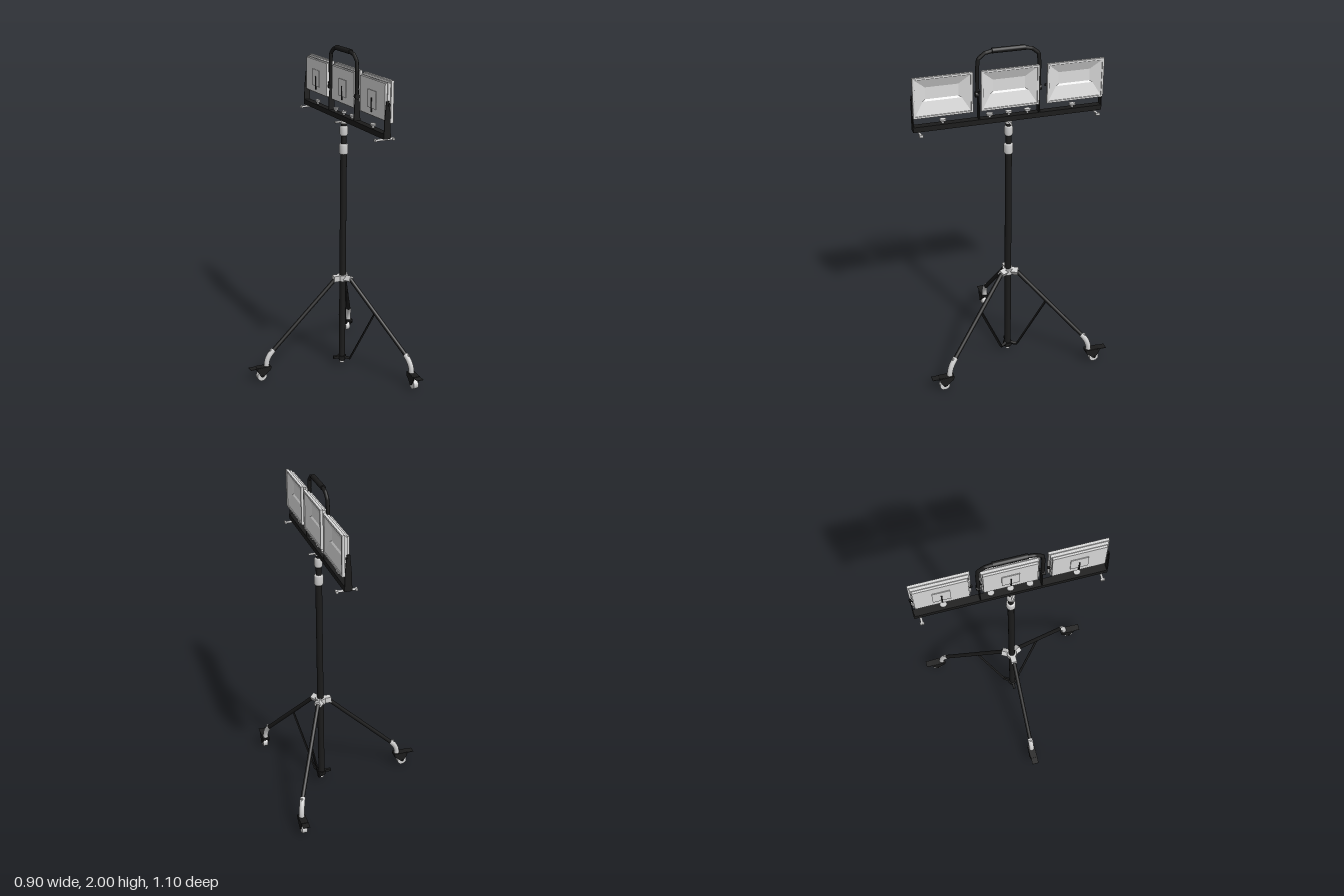
import * as THREE from 'three';

const mat = (name, color, side = THREE.FrontSide) => {
  const m = new THREE.MeshStandardMaterial({ color, side });
  m.name = name;
  return m;
};
const V = (x, y, z) => new THREE.Vector3(x, y, z);

export function createModel() {
  const black = mat('black paint', 0x1b1b1b);
  const plate = mat('black sheet', 0x1d1d1d, THREE.DoubleSide);
  const grey = mat('light grey fitting', 0xcfcfcf);
  const white = mat('pale lamp casing', 0xd9d9d9);
  const reflectorMat = mat('pale reflector', 0xdcdcdc, THREE.DoubleSide);
  const root = new THREE.Group();
  root.name = 'floodlightTripod';
  const PX = 0.165; // mast axis

  const add = (name, geo, material, pos = V(0, 0, 0), parent = root) => {
    const m = new THREE.Mesh(geo, material);
    m.name = name;
    m.position.copy(pos);
    parent.add(m);
    return m;
  };
  const box = (name, w, h, d, material, pos, parent) =>
    add(name, new THREE.BoxGeometry(w, h, d), material, pos, parent);
  // straight member between two points, round or rectangular
  const member = (name, a, b, geoFor, material, parent) => {
    const dir = b.clone().sub(a);
    const m = add(name, geoFor(dir.length()), material, a.clone().add(b).multiplyScalar(0.5), parent);
    m.quaternion.setFromUnitVectors(V(0, 1, 0), dir.normalize());
    return m;
  };
  const round = (r, r2 = r) => (l) => new THREE.CylinderGeometry(r2, r, l, 16);
  const mastPart = (name, r, y0, y1, material) =>
    member(name, V(PX, y0, 0), V(PX, y1, 0), round(r), material);
  // collar with chamfered rims
  const collar = (name, r, y0, y1) => {
    const pts = [[0.014, y0], [r - 0.004, y0], [r, y0 + 0.008], [r, y1 - 0.008], [r - 0.004, y1], [0.014, y1]];
    add(name, new THREE.LatheGeometry(pts.map((p) => new THREE.Vector2(...p)), 20), grey, V(PX, 0, 0));
  };

  // telescopic mast
  mastPart('mastOuterTube', 0.0195, 0.03, 1.38, black);
  mastPart('mastInnerTube', 0.016, 1.38, 1.58, black);
  mastPart('mastFoot', 0.014, 0.015, 0.035, grey);
  collar('lowerCollar', 0.027, 1.37, 1.432);
  collar('upperCollar', 0.024, 1.482, 1.54);
  mastPart('mastHeadSocket', 0.02, 1.556, 1.58, grey);

  // hubs and legs
  mastPart('upperHub', 0.032, 0.57, 0.607, grey);
  mastPart('lowerHub', 0.027, 0.042, 0.062, black);
  const legs = [
    { start: V(0.12, 0.588, 0), end: V(-0.318, 0.165, 0), stem: V(-0.345, 0.09, 0), turn: Math.PI },
    ...[1, -1].map((s) => ({
      start: V(0.195, 0.588, 0.048 * s), end: V(0.41, 0.172, 0.415 * s),
      stem: V(0.42, 0.09, 0.44 * s), turn: -s * Math.PI / 2, brace: true,
    })),
  ];
  for (const leg of legs) {
    const { start, end, stem } = leg;
    const out = V(end.x - PX, 0, end.z).normalize();
    const centre = V(PX, 0.588, 0);
    const lugEnd = centre.clone().addScaledVector(out, 0.064);
    member('hubLug', centre, lugEnd, (l) => new THREE.BoxGeometry(0.036, l, 0.036), grey);
    member('leg', start, end, round(0.0125), black);

    // lower lugs and stays
    const low = V(PX, 0.056, 0).addScaledVector(out, 0.06);
    member('lowerLug', V(PX, 0.056, 0), low, (l) => new THREE.BoxGeometry(0.016, l, 0.016), black);
    if (leg.brace) {
      const mid = start.clone().lerp(end, 0.43);
      member('stay', mid, low, (l) => new THREE.BoxGeometry(0.013, l, 0.009), black);
    }

    // bent clamp leading into the caster
    const legDir = end.clone().sub(start).normalize();
    const bend = new THREE.QuadraticBezierCurve3(
      end.clone().addScaledVector(legDir, -0.03), V(stem.x, 0.145, stem.z), stem);
    add('casterElbow', new THREE.TubeGeometry(bend, 10, 0.0165, 12), grey);
    member('elbowBolt', end.clone().add(V(0, 0, 0)), end.clone().add(V(0, 0.026, 0)), round(0.006), grey);

    // caster, trailing along its local +x
    const caster = new THREE.Group();
    caster.name = 'caster';
    caster.position.set(stem.x, 0, stem.z);
    caster.rotation.y = leg.turn;
    root.add(caster);
    const side = new THREE.Shape();
    [[-0.022, 0.092], [0.07, 0.086], [0.062, 0.066], [0.042, 0.03], [0.022, 0.03], [0, 0.055], [-0.018, 0.066]]
      .forEach(([x, y], i) => (i ? side.lineTo(x, y) : side.moveTo(x, y)));
    for (const s of [1, -1]) {
      add('casterFork', new THREE.ExtrudeGeometry(side, { depth: 0.005, bevelEnabled: false }),
        black, V(0, 0, s * 0.02 - 0.0025), caster);
    }
    box('casterTop', 0.09, 0.014, 0.042, black, V(0.022, 0.083, 0), caster);
    const wheel = add('casterWheel', new THREE.CylinderGeometry(0.03, 0.03, 0.03, 20), grey, V(0.034, 0.03, 0), caster);
    wheel.rotation.x = Math.PI / 2;
    const axle = add('casterAxle', new THREE.CylinderGeometry(0.006, 0.006, 0.052, 10), black, V(0.034, 0.033, 0), caster);
    axle.rotation.x = Math.PI / 2;
    box('brakePedal', 0.046, 0.003, 0.042, plate, V(0.086, 0.086, 0), caster);
  }

  // crossbar
  box('crossbar', 0.042, 0.03, 1.09, black, V(PX, 1.589, 0));
  for (const z of [-0.375, -0.11, 0, 0.11, 0.375]) {
    const knob = add('barKnob', new THREE.CylinderGeometry(0.02, 0.018, 0.012, 14), grey, V(PX, 1.622, z));
    knob.scale.x = 0.8;
    member('knobStud', V(PX, 1.6, z), V(PX, 1.618, z), round(0.007), grey);
  }
  for (const z of [-0.51, 0.51]) {
    member('endBolt', V(0.115, 1.565, z), V(0.215, 1.565, z), round(0.007), grey);
    for (const x of [0.111, 0.219]) box('endBoltHead', 0.012, 0.014, 0.024, grey, V(x, 1.565, z));
  }
  member('mastHeadBolt', V(0.107, 1.565, 0), V(0.223, 1.565, 0), round(0.006), grey);

  // tapered lamp uprights
  const upright = new THREE.Shape();
  [[-0.02, 1.6], [0.02, 1.6], [0.018, 1.68], [0.009, 1.78], [-0.009, 1.78], [-0.018, 1.68]]
    .forEach(([x, y], i) => (i ? upright.lineTo(x, y) : upright.moveTo(x, y)));
  for (const z of [-0.543, -0.173, 0.173, 0.543]) {
    add('lampUpright', new THREE.ExtrudeGeometry(upright, { depth: 0.006, bevelEnabled: false }),
      black, V(PX, 0, z - 0.003));
  }

  // lamps: local z becomes the beam direction (+x)
  const rect = (target, w, h, y = 0) => {
    target.moveTo(-w, y - h); target.lineTo(w, y - h);
    target.lineTo(w, y + h); target.lineTo(-w, y + h);
    target.closePath();
    return target;
  };
  const frameShape = rect(new THREE.Shape(), 0.166, 0.115);
  frameShape.holes.push(rect(new THREE.Path(), 0.155, 0.104));
  const frameGeo = new THREE.ExtrudeGeometry(frameShape, { depth: 0.016, bevelEnabled: false });
  // reflector funnel: rectangular loops closing on a flat floor
  const loops = [[0.155, 0.104, 0, 0.011], [0.108, 0.046, 0.018, -0.006], [0.092, 0.034, 0.016, -0.012]];
  const pos = [], index = [];
  loops.forEach(([w, h, y, z], k) => {
    pos.push(-w, y - h, z, w, y - h, z, w, y + h, z, -w, y + h, z);
    for (let i = 0; k && i < 4; i++) {
      const a = 4 * (k - 1) + i, b = 4 * (k - 1) + (i + 1) % 4;
      index.push(a, b, b + 4, a, b + 4, a + 4);
    }
  });
  index.push(8, 9, 10, 8, 10, 11);
  let funnel = new THREE.BufferGeometry();
  funnel.setAttribute('position', new THREE.Float32BufferAttribute(pos, 3));
  funnel.setIndex(index);
  funnel = funnel.toNonIndexed();
  funnel.computeVertexNormals();

  for (const z of [-0.378, 0, 0.378]) {
    const lamp = new THREE.Group();
    lamp.name = 'lamp';
    lamp.position.set(0.184, 1.774, z);
    lamp.rotation.y = Math.PI / 2;
    root.add(lamp);
    add('lampFrame', frameGeo, white, V(0, 0, 0), lamp);
    add('reflector', funnel, reflectorMat, V(0, 0, 0), lamp);
    box('lampHousing', 0.3, 0.2, 0.014, white, V(0, 0, -0.022), lamp);
    // housing walls joining the back to the frame
    for (const s of [1, -1]) {
      box('housingSide', 0.006, 0.2, 0.018, white, V(s * 0.155, 0, -0.008), lamp);
      box('housingEdge', 0.316, 0.006, 0.018, white, V(0, s * 0.104, -0.008), lamp);
      box('pivotBolt', 0.02, 0.012, 0.012, black, V(s * 0.162, -0.015, -0.012), lamp);
    }
    box('driverCover', 0.1, 0.1, 0.004, white, V(0, -0.01, -0.031), lamp);
    box('lampCable', 0.008, 0.08, 0.006, black, V(0, -0.04, -0.033), lamp);
  }

  // carrying handle over the middle lamp
  const path = new THREE.CurvePath();
  const hp = [[0.177, 1.74], [0.177, 1.895], [0.172, 1.945], [0.135, 1.975], [0.09, 1.984]];
  const pts = [...hp, ...hp.map(([z, y]) => [-z, y]).reverse()].map(([z, y]) => V(0.16, y, z));
  for (let i = 1; i < pts.length; i++) path.add(new THREE.LineCurve3(pts[i - 1], pts[i]));
  add('handle', new THREE.TubeGeometry(path, 80, 0.011, 10), black);
  member('handleGrip', V(0.16, 1.985, -0.095), V(0.16, 1.985, 0.095), round(0.015), black);
  for (const s of [1, -1]) {
    const pivot = add('handlePivot', new THREE.CylinderGeometry(0.016, 0.016, 0.02, 14), black, V(0.16, 1.745, s * 0.18));
    pivot.rotation.x = Math.PI / 2;
  }
  return root;
}
